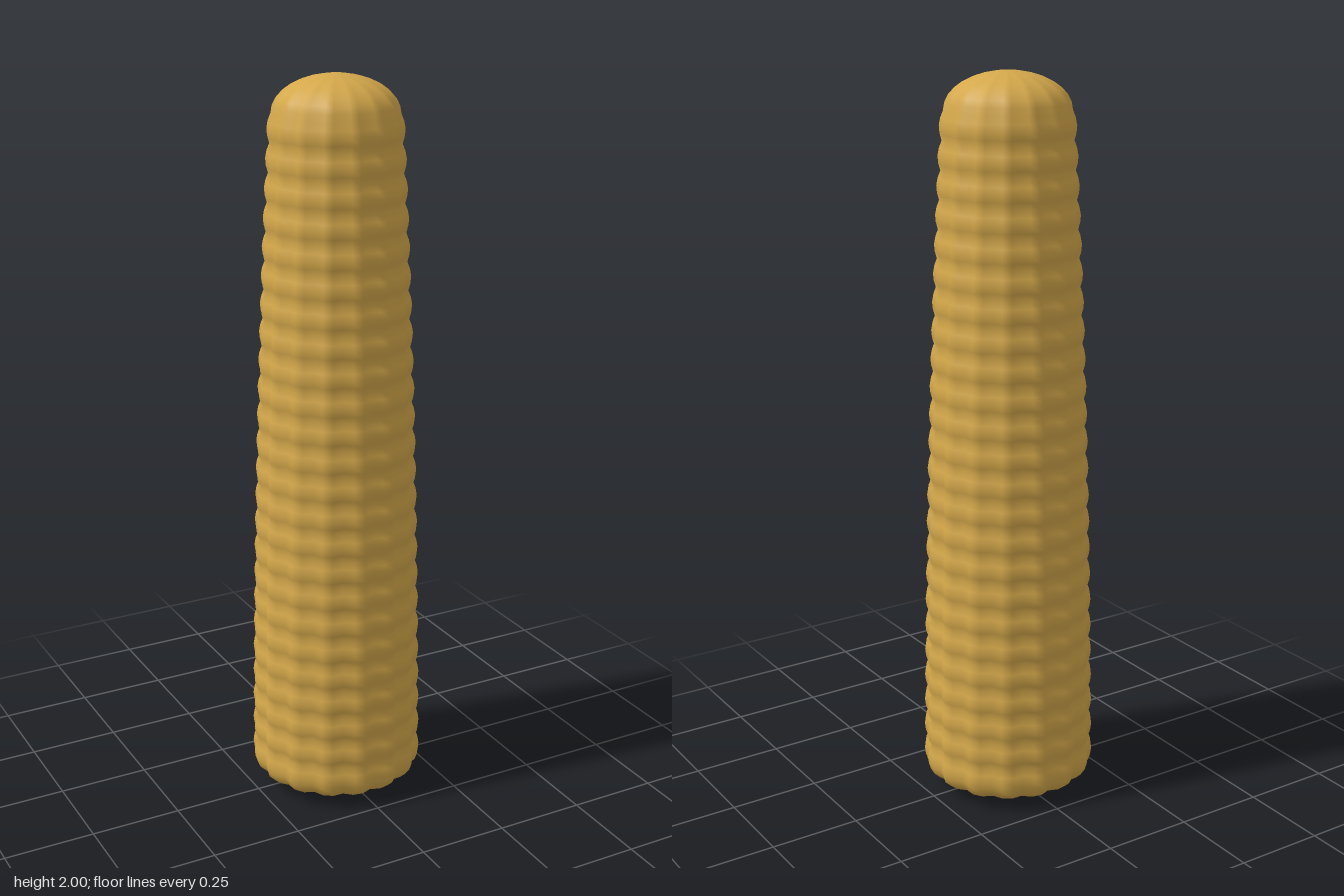
import * as THREE from 'three';
import { mergeVertices } from 'three/addons/utils/BufferGeometryUtils.js';

const ROWS = 24;       // kernel rings up the cob
const COLUMNS = 16;    // kernel columns around it
const Y0 = 0.05, Y1 = 1.9;

// Gently tapering outer radius of the cob
function bodyRadius(y) {
  const t = (y - Y0) / (Y1 - Y0);
  return 0.24 - 0.022 * t - 0.042 * t * t;
}

function cobProfile() {
  const pts = [[0, 0], [0.07, 0.002], [0.14, 0.008], [0.185, 0.02], [0.215, 0.035]];
  // Bulging kernel rows
  const steps = ROWS * 4;
  for (let i = 0; i <= steps; i++) {
    const y = Y0 + (Y1 - Y0) * i / steps;
    const bulge = Math.abs(Math.sin(Math.PI * i / 4));
    pts.push([bodyRadius(y) - 0.009 * (1 - bulge), y]);
  }
  // Rounded tip
  const tipR = bodyRadius(Y1) - 0.009;
  for (let i = 1; i <= 8; i++) {
    const a = Math.PI / 2 * i / 8;
    pts.push([i === 8 ? 0 : tipR * Math.cos(a), Y1 + (2 - Y1) * Math.sin(a)]);
  }
  return pts.map(([r, y]) => new THREE.Vector2(r, y));
}

export function createModel() {
  const group = new THREE.Group();
  group.name = 'cornCob';

  let geo = new THREE.LatheGeometry(cobProfile(), COLUMNS * 3);
  // Press a groove between neighbouring kernel columns
  const p = geo.attributes.position;
  for (let i = 0; i < p.count; i++) {
    const x = p.getX(i), z = p.getZ(i);
    const lobe = Math.abs(Math.sin(Math.atan2(x, z) * COLUMNS / 2)) / Math.sin(Math.PI / 3);
    const k = 1 - 0.055 * (1 - lobe);
    p.setX(i, x * k);
    p.setZ(i, z * k);
  }
  // Weld the seam for smooth shading all round
  geo.deleteAttribute('uv');
  geo.deleteAttribute('normal');
  geo = mergeVertices(geo, 1e-5);
  geo.computeVertexNormals();

  const cob = new THREE.Mesh(geo, new THREE.MeshStandardMaterial({ color: 0xd4a84b }));
  cob.name = 'kernels';
  group.add(cob);
  return group;
}
